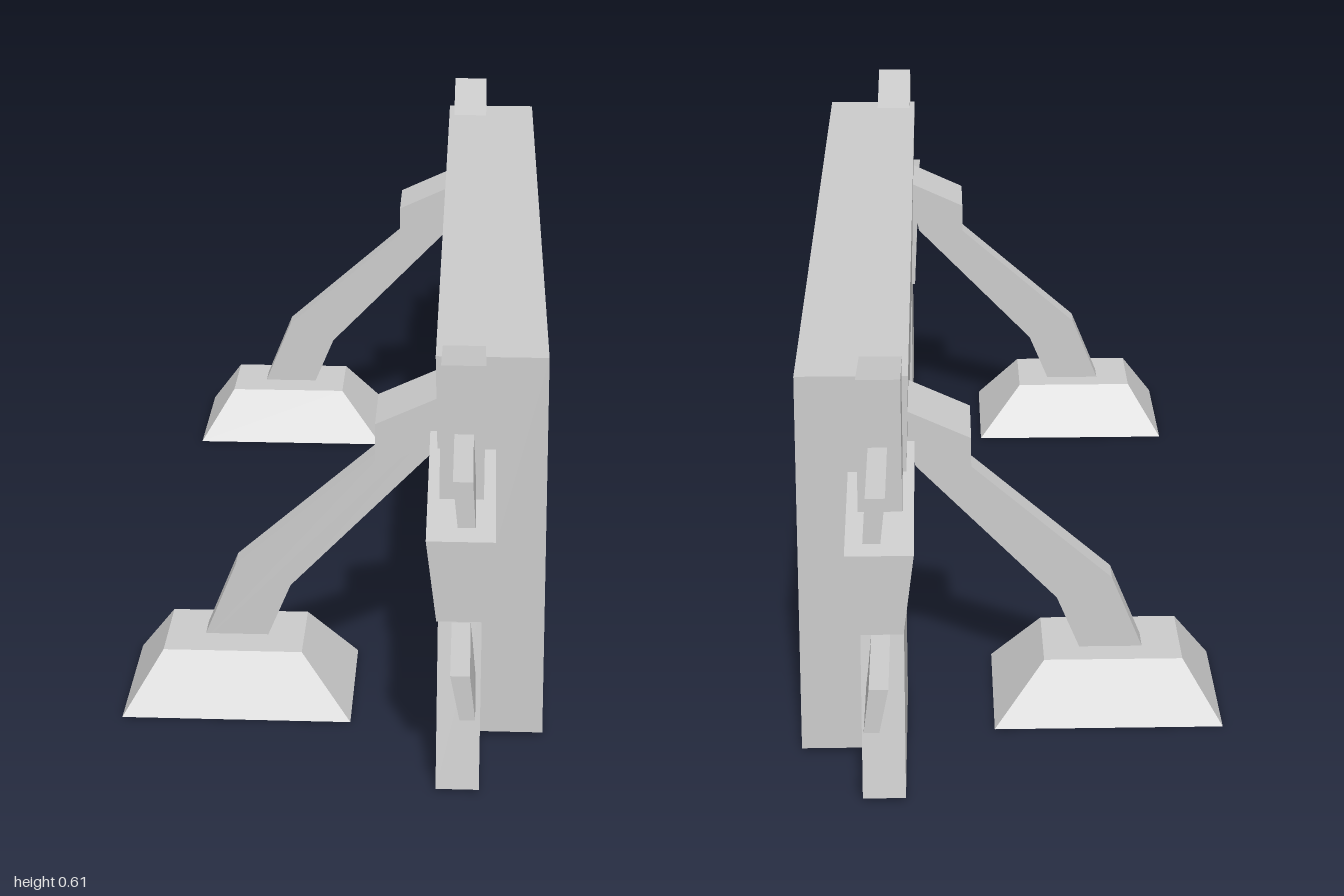
import * as THREE from 'three';

const grey = new THREE.MeshStandardMaterial({ color: 0xcccccc, flatShading: true });
const greyOpen = new THREE.MeshStandardMaterial({ color: 0xcccccc, flatShading: true, side: THREE.DoubleSide });

function shapeOf(points) {
  return new THREE.Shape(points.map(([x, y]) => new THREE.Vector2(x, y)));
}

// Outline in x/y, extruded between two z values
function prismZ(points, z0, z1) {
  const geo = new THREE.ExtrudeGeometry(shapeOf(points), { depth: z1 - z0, bevelEnabled: false });
  return geo.translate(0, 0, z0);
}

// Outline in z/y, extruded between two x values
function prismX(points, x0, x1) {
  const geo = new THREE.ExtrudeGeometry(shapeOf(points), { depth: x1 - x0, bevelEnabled: false });
  return geo.rotateY(-Math.PI / 2).translate(x1, 0, 0);
}

// Box whose corners are placed by rule(right, top, front), each flag true or false
function shapedBox(rule) {
  const geo = new THREE.BoxGeometry(1, 1, 1);
  const p = geo.attributes.position;
  for (let i = 0; i < p.count; i++) {
    p.setXYZ(i, ...rule(p.getX(i) > 0, p.getY(i) > 0, p.getZ(i) > 0));
  }
  geo.computeVertexNormals();
  return geo;
}

export function createModel() {
  const model = new THREE.Group();
  const add = (name, geo, parent = model, material = grey) => {
    const mesh = new THREE.Mesh(geo, material);
    mesh.name = name;
    parent.add(mesh);
  };

  // Main wall slab, its back leaning slightly
  add('panel', prismZ([[0.163, 0.006], [0.307, 0.006], [0.303, 0.579], [0.147, 0.579]], -0.74, 0.71));

  for (const s of [1, -1]) {
    const side = s > 0 ? 'front' : 'back';

    // End post: flared foot, sloping top
    const end = new THREE.Group();
    end.name = side + 'End';
    model.add(end);
    add('endPost', prismX([
      [0.57, 0.004], [0.88, 0.004], [0.835, 0.27], [0.835, 0.61], [0.57, 0.562],
    ].map(([z, y]) => [s * z, y]), 0.156, 0.216), end);

    // Tapered clamp around the post
    add('clamp', shapedBox((right, top, front) => {
      const outer = front === s > 0;
      const half = top ? 0.046 : outer ? 0.031 : 0.036;
      const y = outer ? (top ? 0.4 : 0.285) : (top ? 0.452 : 0.23);
      return [0.186 + (right ? half : -half), y, s * (outer ? 0.935 : 0.665)];
    }), end);

    // Two pegs sticking out of the post
    for (const [name, low, high, skew] of [['upperPeg', 0.442, 0.514, 0.007], ['lowerPeg', 0.167, 0.24, 0.013]]) {
      add(name, shapedBox((right, top, front) => {
        const outer = front === s > 0;
        const x = (right ? 0.201 : 0.175) + (top ? 0 : skew * (right ? 0.6 : 1));
        const y = top ? (outer ? high - 0.003 : high) : (outer ? low + 0.006 : low - 0.006);
        return [x, y, s * (outer ? 1 : 0.75)];
      }), end);
    }

    // Rear support: hollow foot, bent strut and mounting block
    const support = new THREE.Group();
    support.name = side + 'Support';
    model.add(support);
    const foot = shapedBox((right, top, front) => [
      right ? (top ? -0.046 : 0.028) : (top ? -0.25 : -0.307),
      top ? 0.087 : 0,
      s * 0.56 + (front ? 1 : -1) * (top ? 0.07 : 0.12),
    ]);
    // Leave the underside open
    const index = Array.from(foot.index.array);
    index.splice(18, 6);
    foot.setIndex(index);
    add('foot', foot, support, greyOpen);

    const zc = s > 0 ? 0.551 : -0.567;
    add('strut', prismZ([
      [-0.2, 0.07], [-0.107, 0.07], [-0.066, 0.168], [0.14, 0.381],
      [0.15, 0.43], [0.1, 0.415], [-0.147, 0.2],
    ], zc - 0.021, zc + 0.021), support);
    add('mountBlock', prismZ([
      [0.06, 0.375], [0.16, 0.419], [0.16, 0.487], [0.06, 0.441],
    ], zc - 0.063, zc + 0.063), support);
  }

  return model;
}
